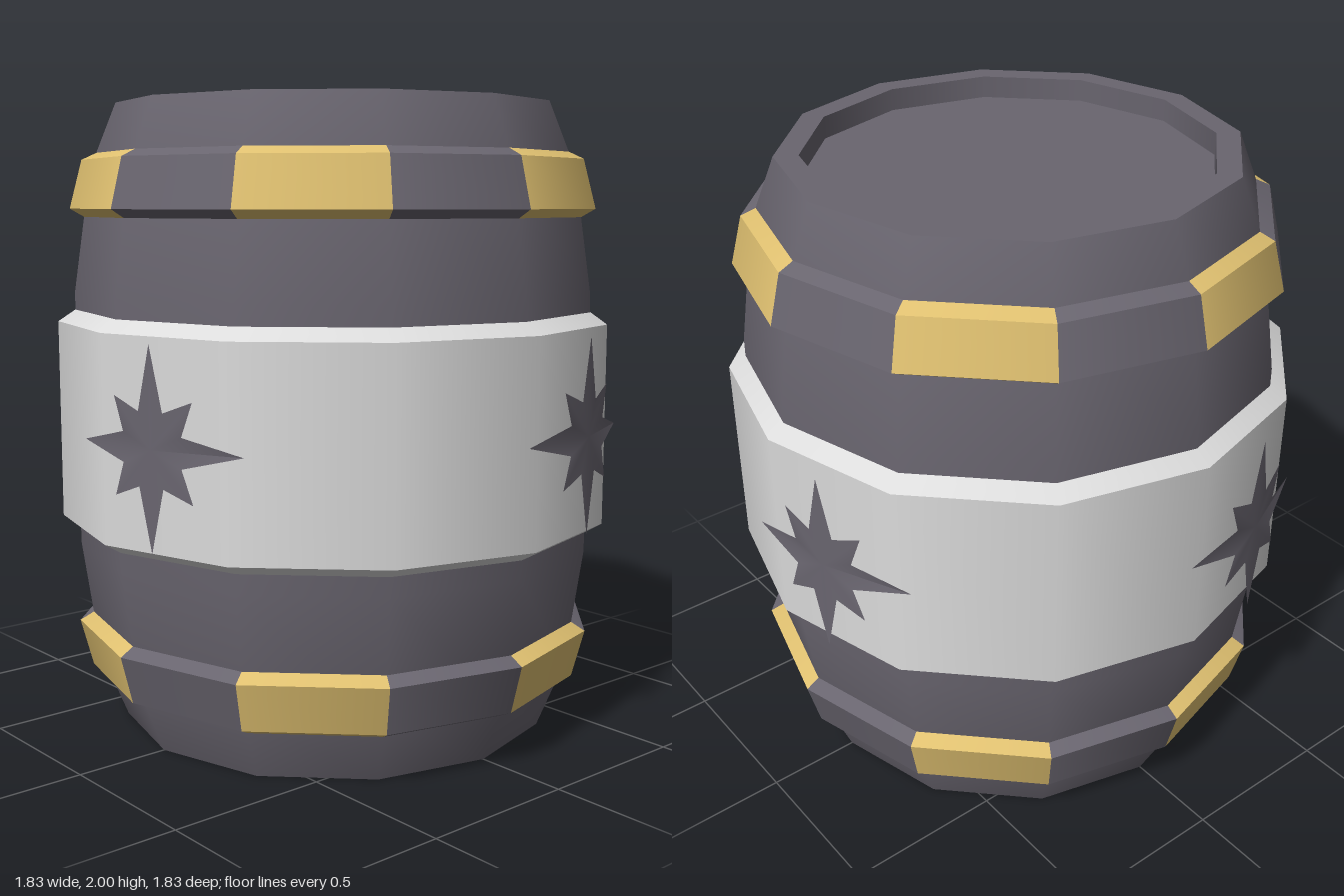
import * as THREE from 'three';
import { mergeGeometries } from 'three/addons/utils/BufferGeometryUtils.js';

const SIDES = 12;
const STEP = (Math.PI * 2) / SIDES;

// Lathe several profiles and join them, keeping a sharp edge between profiles
function lathe(profiles, segments = SIDES, start = 0, length = Math.PI * 2) {
  return mergeGeometries(profiles.map((profile) => new THREE.LatheGeometry(
    profile.map(([r, y]) => new THREE.Vector2(r, y)), segments, start, length)));
}

// Split a profile into its single straight pieces
const pieces = (profile) => profile.slice(1).map((p, i) => [profile[i], p]);

// Eight-pointed star wrapped on an upright cylinder
function starGeometry(radius) {
  const geo = new THREE.CircleGeometry(1, 16);
  const pos = geo.attributes.position;
  for (let i = 1; i < pos.count; i++) {
    const k = i - 1;
    const reach = k % 2 ? 0.117 : k % 4 ? 0.205 : 0.3;
    const a = (k * Math.PI) / 8;
    pos.setXY(i, Math.cos(a) * reach, Math.sin(a) * reach);
  }
  for (let i = 0; i < pos.count; i++) {
    const phi = pos.getX(i) / radius;
    pos.setXYZ(i, radius * Math.sin(phi), pos.getY(i), radius * Math.cos(phi));
  }
  geo.computeVertexNormals();
  return geo;
}

export function createModel() {
  const group = new THREE.Group();
  const material = (name, color, side = THREE.FrontSide) => {
    const m = new THREE.MeshStandardMaterial({ color, side });
    m.name = name;
    return m;
  };
  const dark = material('darkGrey', 0x69656f, THREE.DoubleSide);
  const gold = material('gold', 0xdfc070, THREE.DoubleSide);
  const silver = material('silver', 0xdcdcdc, THREE.DoubleSide);

  const add = (name, geo, mat) => {
    const mesh = new THREE.Mesh(geo, mat);
    mesh.name = name;
    group.add(mesh);
    return mesh;
  };

  // Barrel: bottom, bulging wall, rim and recessed lid
  const wall = [[0.7, 0], [0.785, 0.21], [0.84, 0.59], [0.845, 1],
    [0.84, 1.41], [0.785, 1.79], [0.7, 2]];
  const lid = [[0.7, 2], [0.625, 2], [0.625, 1.93], [0, 1.93]];
  add('barrelBody', lathe([[[0, 0], [0.7, 0]], wall, ...pieces(lid)]), dark);

  // Wide middle band with bevelled edges
  const band = [[0.84, 0.652], [0.895, 0.685], [0.895, 1.315], [0.84, 1.352]];
  add('middleBand', lathe(pieces(band)), silver);

  // Hoops of alternating dark and gold segments, the lower one mirrored
  const upper = [[0.79, 1.635], [0.85, 1.67], [0.81, 1.822], [0.75, 1.85]];
  const lower = upper.map(([r, y]) => [r, 2 - y]).reverse();
  for (const [name, profile] of [['upperHoop', upper], ['lowerHoop', lower]]) {
    [dark, gold].forEach((mat, odd) => {
      const parts = [];
      for (let i = odd; i < SIDES; i += 2) {
        parts.push(lathe(pieces(profile), 1, i * STEP, STEP));
      }
      add(name + (odd ? 'Gold' : 'Dark'), mergeGeometries(parts), mat);
    });
  }

  // Four stars around the band
  const star = starGeometry(0.917);
  for (let i = 0; i < 4; i++) {
    const mesh = add('star', star, dark);
    mesh.position.y = 1;
    mesh.rotation.y = STEP / 2 + (i * Math.PI) / 2;
  }
  return group;
}
